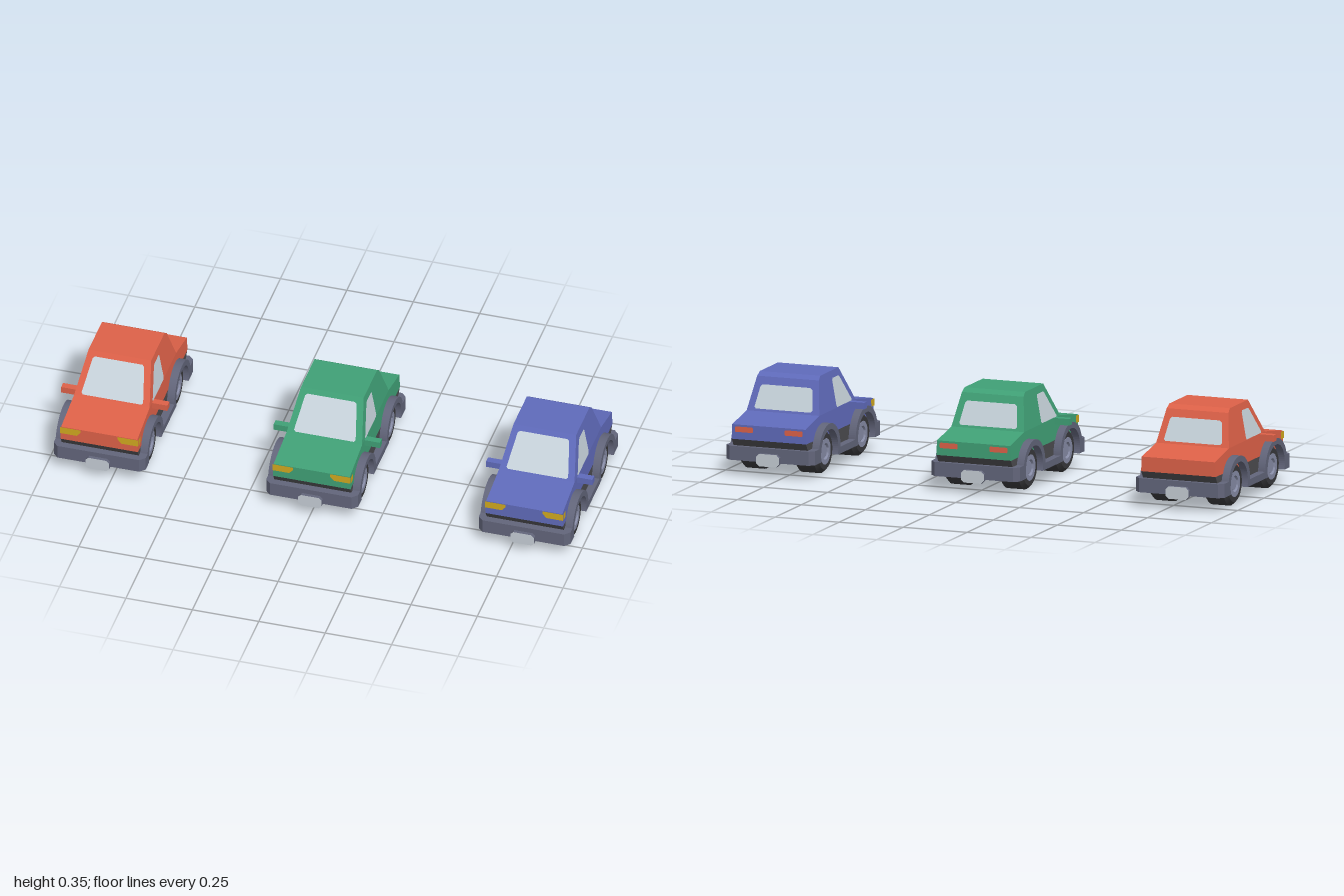
import * as THREE from 'three';
import { toCreasedNormals } from 'three/addons/utils/BufferGeometryUtils.js';

const mat = (name, color) => {
  const m = new THREE.MeshStandardMaterial({ color });
  m.name = name;
  return m;
};

const polygon = points => new THREE.Shape(points.map(p => new THREE.Vector2(...p)));

// A shape drawn in (z, y), extruded across the car from x0 to x1
function sideExtrude(shape, x0, x1) {
  const g = new THREE.ExtrudeGeometry(shape, { depth: x1 - x0, bevelEnabled: false, curveSegments: 20 });
  return g.rotateY(-Math.PI / 2).translate(x1, 0, 0);
}

// Make a symmetric body narrower with height
function taper(g, y0, w0, y1, w1) {
  const p = g.attributes.position;
  for (let i = 0; i < p.count; i++) {
    const t = (p.getY(i) - y0) / (y1 - y0);
    p.setX(i, Math.sign(p.getX(i)) * THREE.MathUtils.lerp(w0, w1, t));
  }
  g.computeVertexNormals();
  return g;
}

// Flat convex panel with clipped corners, lifted slightly off its surface
function panel(corners, cut = 0.007, lift = 0.002) {
  const v = corners.map(c => new THREE.Vector3(...c));
  const n = v[1].clone().sub(v[0]).cross(v[2].clone().sub(v[1])).normalize();
  const ring = [];
  v.forEach((p, i) => {
    for (const q of [v[(i + v.length - 1) % v.length], v[(i + 1) % v.length]])
      ring.push(p.clone().addScaledVector(q.clone().sub(p).normalize(), cut).addScaledVector(n, lift));
  });
  const pts = [];
  for (let i = 1; i < ring.length - 1; i++) pts.push(ring[0], ring[i], ring[i + 1]);
  const g = new THREE.BufferGeometry().setFromPoints(pts);
  g.computeVertexNormals();
  return g;
}

// Same panel on the other side of the car
const mirrored = pts => pts.map(([x, y, z]) => [-x, y, z]).reverse();

function lathePart(points) {
  const g = new THREE.LatheGeometry(points.map(p => new THREE.Vector2(...p)), 28);
  return toCreasedNormals(g, 0.45).rotateZ(-Math.PI / 2);
}

const WHEEL_Z = [0.183, -0.169];
const AXLE_Y = 0.08;

// Side skirt with two round wheel arches
function skirtShape() {
  const R = 0.104, r = 0.082, top = 0.107, low = 0.055;
  const a = Math.asin((top - AXLE_Y) / R), b = Math.asin((AXLE_Y - low) / r);
  const [f, k] = WHEEL_Z;
  const s = new THREE.Shape();
  s.moveTo(0.3, low);
  s.lineTo(0.3, top);
  s.absarc(f, AXLE_Y, R, a, Math.PI, false);
  s.absarc(k, AXLE_Y, R, 0, Math.PI - a, false);
  s.lineTo(-0.3, top);
  s.lineTo(-0.3, low);
  s.absarc(k, AXLE_Y, r, Math.PI + b, -b, true);
  s.absarc(f, AXLE_Y, r, Math.PI + b, -b, true);
  return s;
}

function createCar(paint, m) {
  const car = new THREE.Group();
  const add = (name, geometry, material) => {
    const mesh = new THREE.Mesh(geometry, material);
    mesh.name = name;
    car.add(mesh);
  };

  // Painted body and cabin
  const lower = polygon([[0.315, 0.133], [0.315, 0.188], [0.151, 0.214], [-0.193, 0.214], [-0.327, 0.187], [-0.327, 0.133]]);
  const cabin = polygon([[0.151, 0.214], [0.047, 0.348], [-0.125, 0.348], [-0.145, 0.334], [-0.193, 0.214]]);
  add('lowerBody', taper(sideExtrude(lower, -0.1, 0.1), 0.133, 0.146, 0.214, 0.142), paint);
  add('cabin', taper(sideExtrude(cabin, -0.1, 0.1), 0.214, 0.142, 0.348, 0.118), paint);

  // Dark band under the paint
  const band = polygon([[0.315, 0.133], [0.3, 0.107], [0.3, 0.06], [-0.311, 0.06], [-0.311, 0.107], [-0.327, 0.133]]);
  add('lowerBand', sideExtrude(band, -0.145, 0.145), m.band);

  // Floor, skirts and bumpers
  add('floor', new THREE.BoxGeometry(0.27, 0.05, 0.6).translate(0, 0.08, 0), m.trim);
  const skirt = skirtShape();
  add('leftSkirt', sideExtrude(skirt, 0.125, 0.173), m.trim);
  add('rightSkirt', sideExtrude(skirt, -0.173, -0.125), m.trim);
  const bumperPlan = polygon([[-0.173, 0], [0.173, 0], [0.173, 0.008], [0.154, 0.027], [-0.154, 0.027], [-0.173, 0.008]]);
  const plateShape = polygon([[-0.045, -0.012], [-0.034, -0.023], [0.034, -0.023], [0.045, -0.012],
    [0.045, 0.012], [0.034, 0.023], [-0.034, 0.023], [-0.045, 0.012]]);
  for (const [end, turn] of [['front', 0], ['rear', Math.PI]]) {
    const bumper = new THREE.ExtrudeGeometry(bumperPlan, { depth: 0.052, bevelEnabled: false });
    bumper.rotateX(Math.PI / 2).translate(0, 0.107, 0.3).rotateY(turn);
    add(end + 'Bumper', bumper, m.trim);
    const plate = new THREE.ExtrudeGeometry(plateShape, { depth: 0.015, bevelEnabled: false });
    plate.translate(0, 0.065, 0.325).rotateY(turn);
    add(end + 'Plate', plate, [m.plate, m.trim]);
  }

  // Windows
  const onFront = y => 0.151 - 0.104 * (y - 0.214) / 0.134;
  const onRear = y => -0.193 + 0.048 * (y - 0.214) / 0.12;
  const onSide = y => 0.142 - 0.024 * (y - 0.214) / 0.134;
  const [fb, ft, rb, rt, sb, st] = [0.219, 0.332, 0.222, 0.306, 0.216, 0.322];
  add('windshield', panel([[-0.117, fb, onFront(fb)], [0.117, fb, onFront(fb)],
    [0.096, ft, onFront(ft)], [-0.096, ft, onFront(ft)]]), m.glass);
  add('rearWindow', panel([[0.114, rb, onRear(rb)], [-0.114, rb, onRear(rb)],
    [-0.1, rt, onRear(rt)], [0.1, rt, onRear(rt)]]), m.glass);
  const sideWindow = [[onSide(sb), sb, 0.117], [onSide(sb), sb, -0.031], [onSide(st), st, -0.031], [onSide(st), st, 0.034]];

  // Lights, as corner wraps at the front and strips at the back
  const headlight = [[0.07, 0.176, 0.315], [0.084, 0.16, 0.315], [0.147, 0.16, 0.315], [0.147, 0.187, 0.315], [0.07, 0.187, 0.315]];
  const headlightSide = [[0.146, 0.16, 0.316], [0.146, 0.16, 0.292], [0.146, 0.172, 0.287], [0.146, 0.187, 0.287], [0.146, 0.187, 0.316]];
  const taillight = [[0.132, 0.16, -0.327], [0.062, 0.16, -0.327], [0.062, 0.18, -0.327], [0.132, 0.18, -0.327]];

  for (const [side, s] of [['left', 1], ['right', -1]]) {
    const flip = pts => (s > 0 ? pts : mirrored(pts));
    add(side + 'Window', panel(flip(sideWindow), 0.006), m.glass);
    add(side + 'Headlight', panel(flip(headlight), 0.001), m.lamp);
    add(side + 'HeadlightSide', panel(flip(headlightSide), 0.001), m.lamp);
    add(side + 'Taillight', panel(flip(taillight), 0.003), m.red);
    add(side + 'Mirror', new THREE.BoxGeometry(0.062, 0.024, 0.026).translate(s * 0.169, 0.202, 0.107), paint);

    // Wheels
    WHEEL_Z.forEach((z, i) => {
      const wheel = new THREE.Group();
      wheel.name = side + (i ? 'Rear' : 'Front') + 'Wheel';
      const tyre = new THREE.Mesh(m.tyreGeometry, m.tyre);
      tyre.name = 'tyre';
      const rim = new THREE.Mesh(m.rimGeometry, m.rim);
      rim.name = 'rim';
      wheel.add(tyre, rim);
      wheel.position.set(0, AXLE_Y, z);
      wheel.rotation.y = s > 0 ? 0 : Math.PI;
      car.add(wheel);
    });
  }
  return car;
}

export function createModel() {
  const m = {
    red: mat('red paint', 0xdd6148),
    green: mat('green paint', 0x40a076),
    blue: mat('blue paint', 0x5f6aba),
    trim: mat('grey trim', 0x62657a),
    band: mat('dark band', 0x4c4c50),
    tyre: mat('tyre rubber', 0x38383b),
    rim: mat('wheel rim', 0x878ca6),
    glass: mat('window glass', 0xc8d4dc),
    lamp: mat('yellow lamp', 0xd0a820),
    plate: mat('pale plate', 0xc4ccd4),
    tyreGeometry: lathePart([[0, 0.064], [0.07, 0.064], [0.08, 0.073], [0.08, 0.142], [0.066, 0.156], [0.047, 0.156], [0.046, 0.145]]),
    rimGeometry: lathePart([[0.048, 0.15], [0.048, 0.157], [0.03, 0.157], [0.028, 0.146], [0.025, 0.146], [0.023, 0.152], [0, 0.152]]),
  };
  const model = new THREE.Group();
  model.name = 'threeCars';
  ['red', 'green', 'blue'].forEach((color, i) => {
    const car = createCar(m[color], m);
    car.name = color + 'Car';
    car.position.x = (i - 1) * 0.8;
    model.add(car);
  });
  return model;
}
